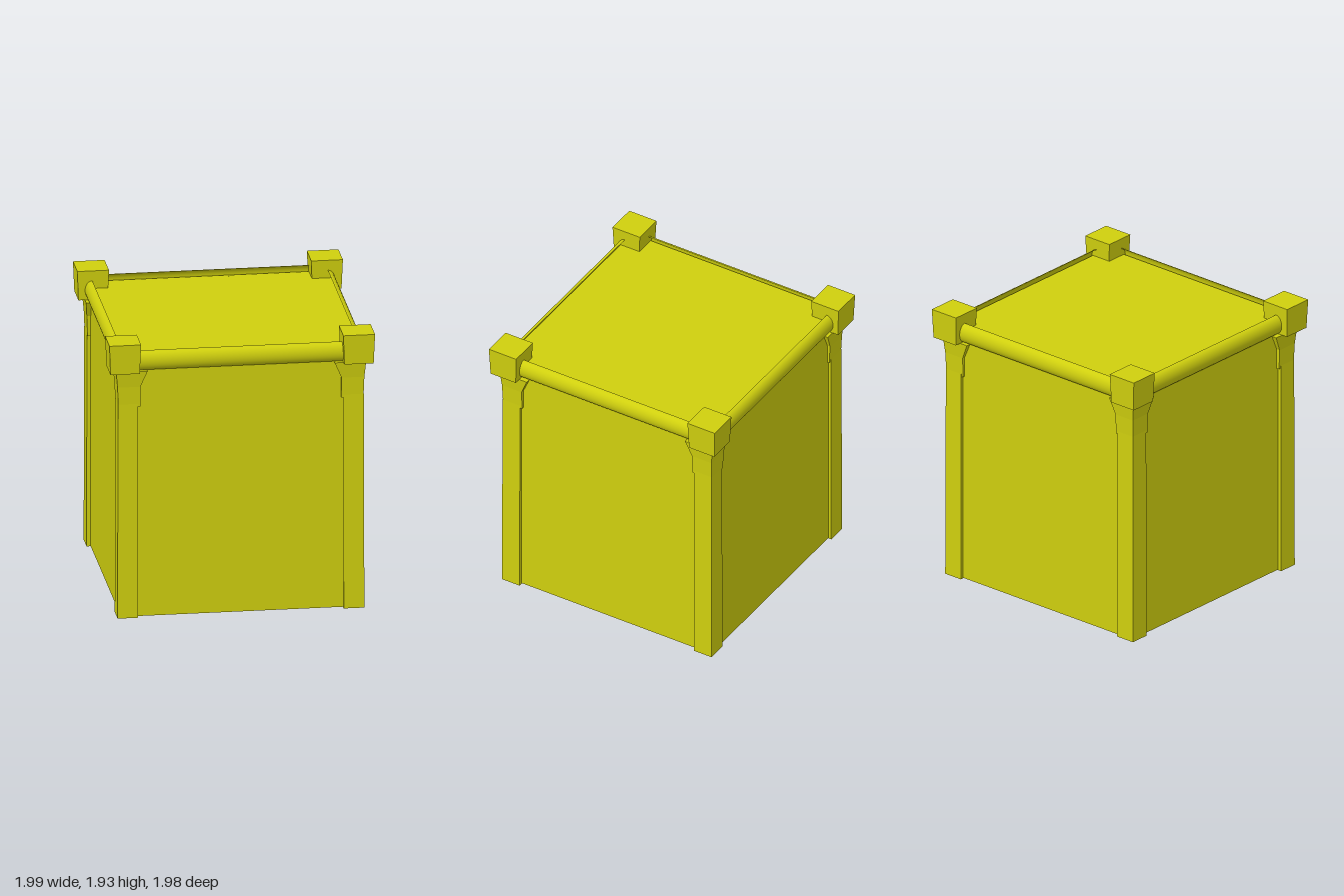
import * as THREE from 'three';

const yellow = new THREE.MeshStandardMaterial({ color: 0xcfcf0e, side: THREE.DoubleSide });
yellow.name = 'yellow';

const HALF_X = 0.784, HALF_Z = 0.774; // corner post centres
const WALL_X = 0.801, WALL_Z = 0.796; // wall planes, recessed behind the posts

// Square prism through sections [y, inner, outer], optionally closed at both ends
function loft(sections, closed) {
  const pos = [];
  const ring = ([y, lo, hi]) => [[lo, y, lo], [lo, y, hi], [hi, y, hi], [hi, y, lo]];
  const quad = (a, b, c, d) => pos.push(...a, ...b, ...c, ...a, ...c, ...d);
  for (let s = 0; s < sections.length - 1; s++) {
    const low = ring(sections[s]), high = ring(sections[s + 1]);
    for (let i = 0; i < 4; i++) {
      const j = (i + 1) % 4;
      quad(low[i], low[j], high[j], high[i]);
    }
  }
  if (closed) {
    const top = ring(sections[sections.length - 1]), bottom = ring(sections[0]);
    quad(...top);
    quad(...bottom.reverse());
  }
  const geo = new THREE.BufferGeometry();
  geo.setAttribute('position', new THREE.Float32BufferAttribute(pos, 3));
  geo.computeVertexNormals();
  return geo;
}

function add(parent, name, geo) {
  const mesh = new THREE.Mesh(geo, yellow);
  mesh.name = name;
  parent.add(mesh);
  return mesh;
}

export function createModel() {
  const model = new THREE.Group();
  model.name = 'crate';
  const body = new THREE.Group();
  body.name = 'body';
  body.rotation.y = -0.131; // the whole crate stands slightly turned
  model.add(body);

  // Corner posts with flared brackets and tapered cap blocks
  const postGeo = loft([[0, -0.095, 0.043], [1.5, -0.095, 0.04]], false);
  const bracketGeo = loft([[1.48, -0.11, 0.038], [1.62, -0.11, 0.043], [1.73, -0.157, 0.054]], true);
  const capGeo = loft([[1.73, -0.098, 0.098], [1.935, -0.106, 0.106]], true);
  const signs = [[1, 1], [1, -1], [-1, -1], [-1, 1]];
  signs.forEach(([sx, sz], k) => {
    const corner = new THREE.Group();
    corner.name = 'corner';
    corner.position.set(sx * HALF_X, 0, sz * HALF_Z);
    corner.rotation.y = k * Math.PI / 2;
    add(corner, 'post', postGeo);
    add(corner, 'bracket', bracketGeo);
    add(corner, 'cap', capGeo);
    body.add(corner);
  });

  // Thin walls and half-round top rails on the four sides
  for (let k = 0; k < 4; k++) {
    const alongZ = k % 2 === 0;
    const side = new THREE.Group();
    side.name = 'side';
    side.rotation.y = k * Math.PI / 2;
    const wall = new THREE.PlaneGeometry(2 * (alongZ ? WALL_Z : WALL_X), 1.805);
    wall.rotateY(Math.PI / 2);
    add(side, 'wall', wall).position.set(alongZ ? WALL_X : WALL_Z, 0.9075, 0);
    const rail = new THREE.CylinderGeometry(0.0675, 0.0675, 2 * (alongZ ? HALF_Z : HALF_X), 20, 1, true, 0, Math.PI);
    rail.rotateX(Math.PI / 2);
    rail.scale(0.72, 1, 1);
    add(side, 'rail', rail).position.set(alongZ ? 0.789 : 0.787, 1.7975, 0);
    body.add(side);
  }

  // Sunken lid; the underside is open
  const lid = new THREE.PlaneGeometry(2 * WALL_X + 0.05, 2 * WALL_Z + 0.05);
  lid.rotateX(-Math.PI / 2);
  add(body, 'lid', lid).position.y = 1.81;

  return model;
}
